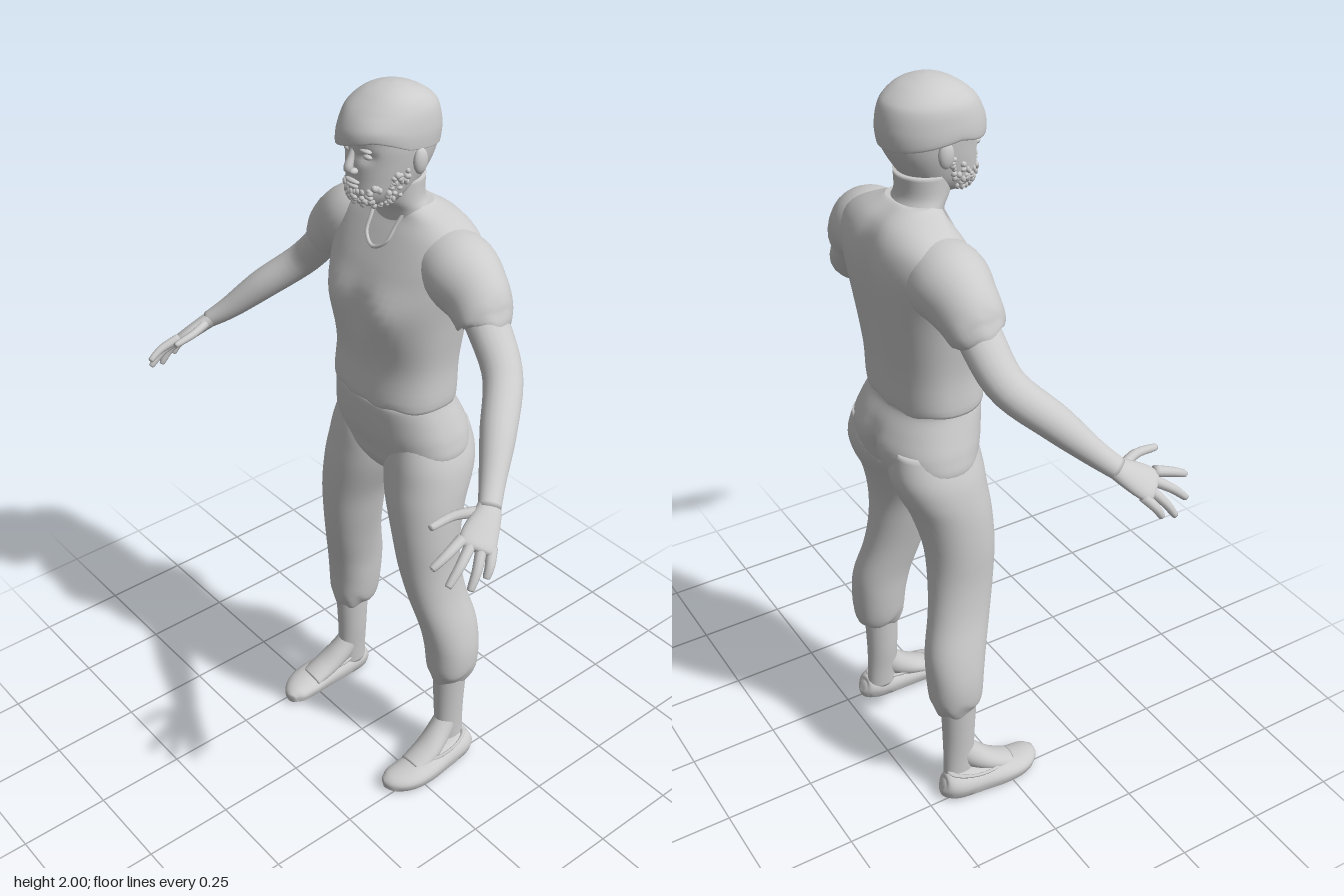
import * as THREE from 'three';

const V = (x, y, z) => new THREE.Vector3(x, y, z);
const skinGrey = new THREE.MeshStandardMaterial({ color: 0xcccccc });
skinGrey.name = 'light grey';

// Smoothly interpolate a table of numeric rows, t in 0..1
function sample(rows, t) {
  const n = rows.length - 1, f = Math.min(t * n, n - 1e-6), i = Math.floor(f), u = f - i;
  const r = k => rows[Math.max(0, Math.min(n, k))];
  return rows[0].map((_, c) => {
    const p0 = r(i - 1)[c], p1 = r(i)[c], p2 = r(i + 1)[c], p3 = r(i + 2)[c];
    return p1 + 0.5 * u * (p2 - p0 + u * (2 * p0 - 5 * p1 + 4 * p2 - p3 + u * (3 * (p1 - p2) + p3 - p0)));
  });
}

const spow = (v, e) => Math.sign(v) * Math.pow(Math.abs(v), e);

// Skin a list of closed rings and close both ends
function skin(rings, deform) {
  const m = rings[0].length, pos = [], idx = [];
  const mid = ring => ring.reduce((a, p) => a.add(p), V(0, 0, 0)).divideScalar(m);
  const all = [...rings.flat(), mid(rings[0]), mid(rings[rings.length - 1])];
  all.forEach(p => { if (deform) deform(p); pos.push(p.x, p.y, p.z); });
  const last = (rings.length - 1) * m, c0 = rings.length * m;
  for (let j = 0; j < m; j++) {
    const k = (j + 1) % m;
    for (let i = 0; i < last; i += m) idx.push(i + j, i + k, i + m + k, i + j, i + m + k, i + m + j);
    idx.push(c0, k, j, c0 + 1, last + j, last + k);
  }
  const g = new THREE.BufferGeometry();
  g.setAttribute('position', new THREE.Float32BufferAttribute(pos, 3));
  g.setIndex(idx);
  g.computeVertexNormals();
  return g;
}

// Point on an upright body; rows are [y, xMin, xMax, zFront, zBack]
function bodyPoint(rows, t, a, e) {
  const [y, x0, x1, zf, zb] = sample(rows, t);
  return V((x0 + x1) / 2 + (x1 - x0) / 2 * spow(Math.sin(a), e), y, (zf + zb) / 2 + (zf - zb) / 2 * spow(Math.cos(a), e));
}

function upright(rows, { steps = 40, seg = 48, e = 1, deform } = {}) {
  const rings = [];
  for (let i = 0; i <= steps; i++) {
    rings.push(Array.from({ length: seg }, (_, j) => bodyPoint(rows, i / steps, j / seg * Math.PI * 2, e)));
  }
  return skin(rings, deform);
}

// Limb along a path; rows are [x, y, z, radius along side, radius across]
function limb(rows, side, { steps = 24, seg = 20, deform } = {}) {
  const rings = [];
  for (let i = 0; i <= steps; i++) {
    const t = i / steps, [x, y, z, a, b] = sample(rows, t);
    const p = sample(rows, Math.max(0, t - 0.02)), q = sample(rows, Math.min(1, t + 0.02));
    const T = V(q[0] - p[0], q[1] - p[1], q[2] - p[2]).normalize();
    const S = side.clone().addScaledVector(T, -side.dot(T)).normalize();
    const B = S.clone().cross(T);
    rings.push(Array.from({ length: seg }, (_, j) => {
      const w = j / seg * Math.PI * 2;
      return V(x, y, z).addScaledVector(S, a * Math.sin(w)).addScaledVector(B, b * Math.cos(w));
    }));
  }
  return skin(rings, deform);
}

function mirrored(g) {
  const m = g.clone();
  m.scale(-1, 1, 1);
  const ix = m.index.array;
  for (let i = 0; i < ix.length; i += 3) [ix[i], ix[i + 1]] = [ix[i + 1], ix[i]];
  m.computeVertexNormals();
  return m;
}

const blob = (x, y, z, rx, ry, rz) => new THREE.SphereGeometry(1, 16, 12).scale(rx, ry, rz).translate(x, y, z);
const bell = (v, c, w) => Math.exp(-(((v - c) / w) ** 2));
const sym = rows => rows.map(([y, w, f, b]) => [y, -w, w, f, b]);

export function createModel() {
  const model = new THREE.Group();
  const add = (name, g) => {
    const mesh = new THREE.Mesh(g, skinGrey);
    mesh.name = name;
    model.add(mesh);
  };
  const pair = (name, g) => { add(name + 'Left', g); add(name + 'Right', mirrored(g)); };

  // Shirt body with chest and spine groove
  add('shirt', upright(sym([
    [1.195, 0.165, 0.0, -0.22], [1.205, 0.178, 0.015, -0.232], [1.3, 0.176, 0.008, -0.238], [1.4, 0.188, 0.02, -0.252],
    [1.48, 0.2, 0.022, -0.265], [1.55, 0.215, -0.005, -0.272], [1.6, 0.22, -0.03, -0.27], [1.645, 0.2, -0.055, -0.258],
    [1.68, 0.145, -0.075, -0.235], [1.705, 0.088, -0.08, -0.2], [1.712, 0.078, -0.085, -0.185]]), {
    e: 0.85, deform: p => {
      if (p.z < -0.15) p.z += 0.02 * bell(p.x, 0, 0.035) * bell(p.y, 1.5, 0.2);
      else if (p.z > -0.08) p.z += 0.012 * (bell(Math.abs(p.x), 0.09, 0.05) - bell(p.x, 0, 0.03)) * bell(p.y, 1.45, 0.06);
      if (p.y < 1.215) p.y += 0.004 * Math.sin(p.x * 70);
    } }));

  // Neckline
  add('neckline', new THREE.TubeGeometry(new THREE.CatmullRomCurve3([
    V(-0.055, 1.705, -0.09), V(-0.045, 1.665, -0.066), V(-0.036, 1.625, -0.043), V(0, 1.605, -0.031),
    V(0.036, 1.625, -0.043), V(0.045, 1.665, -0.066), V(0.055, 1.705, -0.09)]), 32, 0.005, 8));

  // Sleeves with a slightly wavy hem
  pair('sleeve', limb([
    [0.08, 1.575, -0.15, 0.08, 0.085], [0.18, 1.573, -0.145, 0.098, 0.098], [0.25, 1.54, -0.14, 0.083, 0.085],
    [0.293, 1.497, -0.132, 0.074, 0.062], [0.3, 1.488, -0.13, 0.058, 0.05]], V(0, 0, 1), {
    seg: 32, deform: p => { if (p.x + (1.5 - p.y) > 0.27) p.y += 0.004 * Math.sin(p.z * 110); } }));

  // Bare arms
  pair('arm', limb([
    [0.25, 1.535, -0.135, 0.055, 0.05], [0.31, 1.475, -0.132, 0.055, 0.046], [0.385, 1.39, -0.11, 0.05, 0.044],
    [0.46, 1.31, -0.03, 0.045, 0.041], [0.52, 1.238, 0.04, 0.033, 0.031], [0.56, 1.198, 0.085, 0.028, 0.023]], V(0, 0, 1)));

  // Hands
  const spread = V(-0.05, 0.03, 0.07);
  pair('palm', limb([
    [0.545, 1.212, 0.068, 0.024, 0.022], [0.565, 1.19, 0.095, 0.034, 0.021], [0.585, 1.162, 0.135, 0.045, 0.019],
    [0.598, 1.147, 0.158, 0.043, 0.015], [0.602, 1.142, 0.165, 0.03, 0.008]], spread));
  const fingers = {
    indexFinger: [[0.573, 1.167, 0.18], [0.58, 1.15, 0.232], [0.577, 1.13, 0.27]],
    middleFinger: [[0.588, 1.155, 0.165], [0.605, 1.125, 0.212], [0.61, 1.09, 0.25]],
    ringFinger: [[0.602, 1.146, 0.145], [0.625, 1.108, 0.178], [0.633, 1.07, 0.203]],
    littleFinger: [[0.612, 1.138, 0.122], [0.632, 1.11, 0.145], [0.638, 1.085, 0.16]],
    thumb: [[0.553, 1.195, 0.1], [0.525, 1.195, 0.16], [0.517, 1.187, 0.222]],
  };
  for (const [name, [a, b, c]] of Object.entries(fingers)) {
    const end = c.map((v, i) => v + (c[i] - b[i]) * 0.06);
    pair(name, limb([[...a, 0.014, 0.013], [...b, 0.012, 0.011], [...c, 0.009, 0.008], [...end, 0.003, 0.003]], spread, { steps: 12, seg: 10 }));
  }

  // Trousers: hips, then baggy legs gathered below the knee
  add('hips', upright(sym([
    [0.945, 0.02, -0.08, -0.15], [0.96, 0.08, -0.05, -0.19], [1.0, 0.16, -0.025, -0.24], [1.04, 0.205, -0.015, -0.262],
    [1.09, 0.202, 0.0, -0.27], [1.14, 0.188, 0.008, -0.252], [1.185, 0.174, 0.012, -0.228], [1.2, 0.17, 0.008, -0.225]]), {
    e: 0.88, deform: p => { if (p.z < -0.16) p.z += 0.045 * bell(p.x, 0, 0.022) * bell(p.y, 1.03, 0.07); } }));
  pair('trouserLeg', upright([
    [0.295, 0.18, 0.258, -0.095, -0.195], [0.31, 0.168, 0.268, -0.085, -0.21], [0.35, 0.152, 0.283, -0.076, -0.222],
    [0.42, 0.143, 0.284, -0.07, -0.227], [0.5, 0.135, 0.27, -0.055, -0.225], [0.6, 0.115, 0.246, -0.03, -0.202],
    [0.7, 0.09, 0.235, -0.012, -0.19], [0.8, 0.064, 0.235, -0.004, -0.192], [0.9, 0.025, 0.232, -0.005, -0.216],
    [0.97, 0.004, 0.226, -0.012, -0.248], [1.03, 0.004, 0.214, -0.018, -0.262], [1.1, 0.03, 0.185, -0.03, -0.25]], {
    e: 0.93, deform: p => { if (p.y < 0.36) p.y += 0.006 * Math.sin(p.x * 130 + p.z * 60); } }));

  // Shins, feet and shoes
  pair('shin', upright([
    [0.05, 0.195, 0.255, -0.1, -0.19], [0.12, 0.19, 0.255, -0.097, -0.188], [0.2, 0.182, 0.258, -0.095, -0.188],
    [0.32, 0.176, 0.264, -0.09, -0.192]], { steps: 16, seg: 28 }));
  pair('instep', limb([
    [0.222, 0.15, -0.14, 0.03, 0.035], [0.227, 0.105, -0.1, 0.036, 0.036], [0.234, 0.07, -0.05, 0.041, 0.03],
    [0.236, 0.045, 0.01, 0.04, 0.022]], V(1, 0, 0)));
  pair('shoe', limb([
    [0.236, 0.045, -0.205, 0.012, 0.015], [0.237, 0.042, -0.195, 0.032, 0.032], [0.24, 0.04, -0.16, 0.046, 0.042],
    [0.243, 0.036, -0.09, 0.05, 0.04], [0.246, 0.033, -0.02, 0.054, 0.035], [0.241, 0.03, 0.035, 0.052, 0.029],
    [0.226, 0.027, 0.08, 0.036, 0.022], [0.217, 0.025, 0.1, 0.012, 0.01]], V(1, 0, 0), {
    steps: 32, seg: 32, deform: p => { p.y = p.y < 0.022 ? Math.max(0, p.y * 0.6) : p.y; } }));
  pair('shoeTrim', new THREE.TorusGeometry(1, 0.1, 8, 32).rotateX(Math.PI / 2).scale(0.041, 0.05, 0.085)
    .rotateX(0.14).translate(0.24, 0.071, -0.095));

  // Neck
  add('neck', upright(sym([
    [1.66, 0.09, -0.07, -0.2], [1.7, 0.08, -0.06, -0.183], [1.73, 0.073, -0.042, -0.17], [1.78, 0.073, -0.035, -0.172]]), { steps: 12 }));

  // Head
  const headRows = sym([
    [1.722, 0.03, -0.01, -0.09], [1.733, 0.05, 0.018, -0.12], [1.76, 0.068, 0.03, -0.148], [1.8, 0.08, 0.03, -0.178],
    [1.84, 0.088, 0.03, -0.2], [1.88, 0.092, 0.033, -0.21], [1.92, 0.088, 0.03, -0.205], [1.96, 0.06, -0.02, -0.17]]);
  add('head', upright(headRows, { e: 0.93, deform: p => {
    if (p.z > 0) p.z -= 0.012 * bell(Math.abs(p.x), 0.035, 0.018) * bell(p.y, 1.858, 0.014);
  } }));

  // Hair, swept lower over the right brow
  add('hair', upright([
    [1.872, -0.1, 0.094, 0.036, -0.208], [1.876, -0.113, 0.097, 0.046, -0.213], [1.91, -0.113, 0.097, 0.042, -0.217],
    [1.95, -0.104, 0.088, 0.018, -0.203], [1.98, -0.076, 0.068, -0.02, -0.165], [1.995, -0.04, 0.036, -0.055, -0.125],
    [2, -0.008, 0.006, -0.085, -0.098]], { e: 0.93, deform: p => {
    const k = Math.max(0, (1.95 - p.y) / 0.08);
    p.y += k * (p.z > -0.06 ? Math.min(1, (p.z + 0.06) / 0.08) * (0.3 * p.x + 0.008) : (p.z + 0.06) * 0.15);
  } }));

  // Face
  pair('ear', blob(0.094, 1.838, -0.095, 0.012, 0.032, 0.02).rotateX(0));
  pair('eye', blob(0.034, 1.857, 0.012, 0.014, 0.007, 0.01));
  pair('brow', blob(0.034, 1.874, 0.02, 0.021, 0.006, 0.01));
  pair('nostril', blob(0.011, 1.82, 0.034, 0.009, 0.008, 0.012));
  add('nose', limb([
    [0, 1.872, 0.024, 0.008, 0.008], [0, 1.85, 0.034, 0.008, 0.009], [0, 1.828, 0.042, 0.011, 0.012],
    [0, 1.816, 0.04, 0.006, 0.006]], V(1, 0, 0), { steps: 12, seg: 14 }));
  add('upperLip', blob(0, 1.793, 0.03, 0.024, 0.006, 0.01));
  add('lowerLip', blob(0, 1.782, 0.03, 0.021, 0.006, 0.01));

  // Rough beard: small tufts scattered over the jaw
  let seed = 7;
  const rand = () => (seed = (seed * 16807) % 2147483647) / 2147483647;
  const beard = new THREE.Group();
  beard.name = 'beard';
  const tuftShape = new THREE.IcosahedronGeometry(0.007, 1);
  for (let i = 0; i < 170; i++) {
    const p = bodyPoint(headRows, 0.14 + rand() * 0.36, (rand() * 2 - 1) * 1.6, 0.93);
    if (Math.abs(p.x) < 0.032 && p.y > 1.773) continue;
    if (p.y > 1.785 && p.z > -0.03) continue;
    const tuft = new THREE.Mesh(tuftShape, skinGrey);
    tuft.name = 'beardTuft';
    tuft.position.copy(p);
    tuft.scale.set(0.7 + rand() * 0.6, 0.7 + rand() * 0.7, 0.7 + rand() * 0.5);
    beard.add(tuft);
  }
  model.add(beard);
  return model;
}
